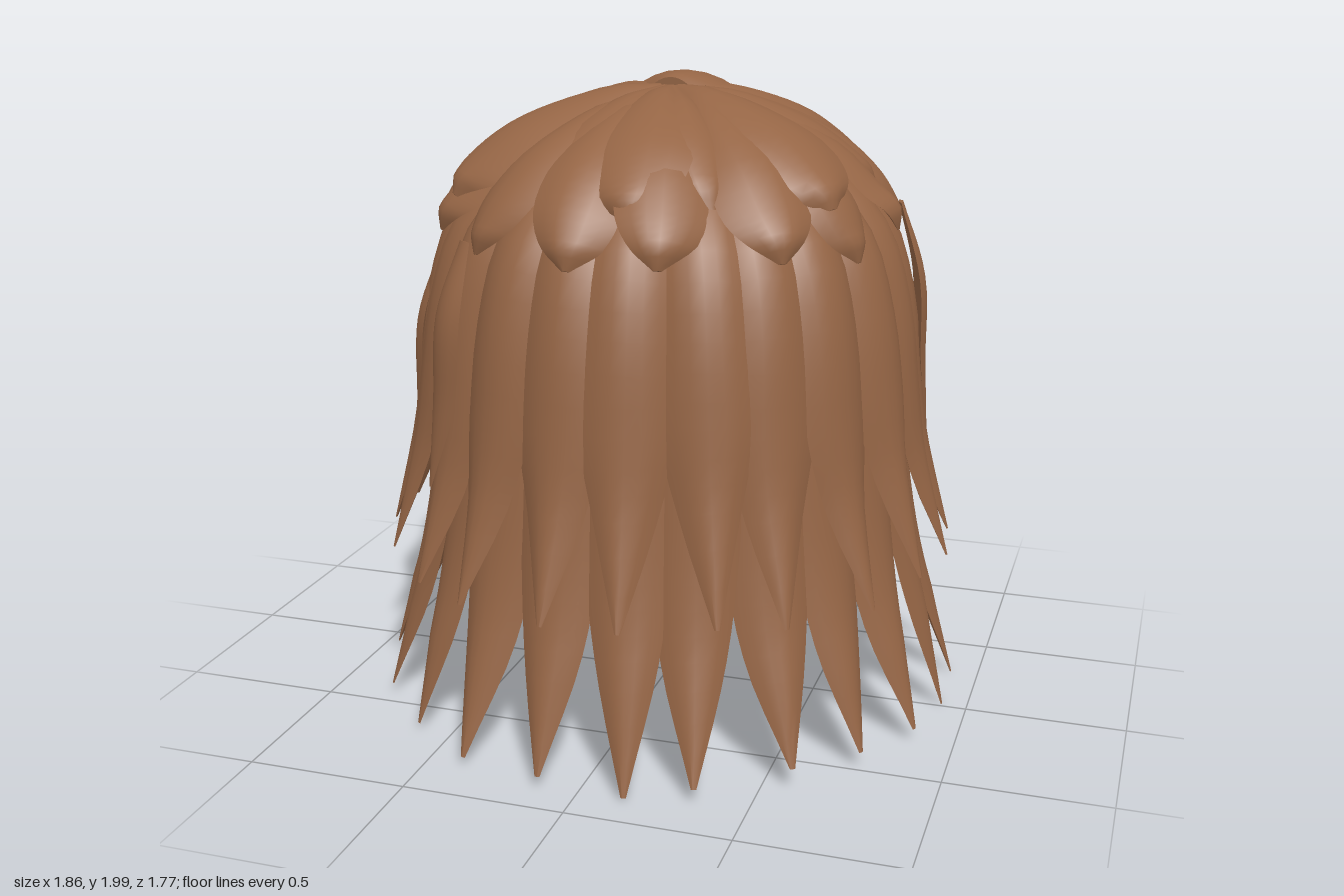
import * as THREE from 'three';
import { toCreasedNormals } from 'three/addons/utils/BufferGeometryUtils.js';

const rad = THREE.MathUtils.degToRad;
const CENTER_Z = -0.03;

// small repeatable variation in -1..1
const vary = (n) => {
  const s = Math.sin(n * 127.1 + 3.7) * 43758.5453;
  return 2 * (s - Math.floor(s)) - 1;
};

// One leaf-shaped lock. Stations are [radius, height, half width] from root to tip.
function lockGeometry(stations, azimuth, sweep = 0, thick = 0.035, roll = 0) {
  const curve = new THREE.CatmullRomCurve3(stations.map((s) => new THREE.Vector3(...s)));
  const rows = 18, across = 6, ring = across * 2;
  const pos = [], index = [];
  for (let i = 0; i <= rows; i++) {
    const t = i / rows;
    const p = curve.getPoint(t), d = curve.getTangent(t);
    const len = Math.hypot(d.x, d.y) || 1;
    const nr = -d.y / len, ny = d.x / len;
    const a = rad(azimuth + sweep * t * t);
    const sin = Math.sin(a), cos = Math.cos(a);
    const half = Math.max(p.z, 0.006);
    const body = thick * Math.min(1, half / 0.08);
    for (let j = 0; j < ring; j++) {
      const outer = j <= across;
      const s = outer ? -1 + (2 * j) / across : 1 - (2 * (j - across)) / across;
      const u = s * half;
      const lift = (outer ? 1 : -0.4) * body * (1 - s * s) - (u * u) / 1.3 + roll * s * half;
      const r = p.x + nr * lift;
      pos.push(sin * r + cos * u, p.y + ny * lift, cos * r - sin * u + CENTER_Z);
    }
  }
  for (let i = 0; i < rows; i++) {
    for (let j = 0; j < ring; j++) {
      const a = i * ring + j, b = i * ring + ((j + 1) % ring);
      index.push(a, a + ring, b, b, a + ring, b + ring);
    }
  }
  // close root and tip
  for (let j = 1; j < ring - 1; j++) {
    const e = rows * ring;
    index.push(0, j, j + 1, e, e + j + 1, e + j);
  }
  const g = new THREE.BufferGeometry();
  g.setAttribute('position', new THREE.Float32BufferAttribute(pos, 3));
  g.setIndex(index);
  return toCreasedNormals(g, 0.8);
}

export function createModel() {
  const hair = new THREE.MeshStandardMaterial({ color: 0x956545 });
  hair.name = 'brown hair';
  const skin = new THREE.MeshStandardMaterial({ color: 0xdccdc3 });
  skin.name = 'pale head';
  const model = new THREE.Group();
  model.name = 'wigOnHead';

  const lathe = (name, points, material, z) => {
    const curve = points.map(([x, y]) => new THREE.Vector2(x, y));
    const m = new THREE.Mesh(toCreasedNormals(new THREE.LatheGeometry(curve, 48), 0.6), material);
    m.name = name;
    m.position.z = z;
    model.add(m);
  };
  const layer = (name) => {
    const g = new THREE.Group();
    g.name = name;
    model.add(g);
    return (...args) => {
      const m = new THREE.Mesh(lockGeometry(...args), hair);
      m.name = name + 'Lock';
      g.add(m);
    };
  };

  // head block with rounded lower edge
  const headProfile = [[0, 0.44], [0.44, 0.44]];
  for (let i = 1; i <= 8; i++) {
    const a = (i / 8) * Math.PI / 2;
    headProfile.push([0.44 + 0.165 * Math.sin(a), 0.605 - 0.165 * Math.cos(a)]);
  }
  headProfile.push([0.605, 1.0], [0.605, 1.35], [0.56, 1.56], [0.42, 1.73], [0.2, 1.83], [0, 1.86]);
  lathe('head', headProfile, skin, -0.075);

  // hair cap under the locks
  lathe('hairCap', [[0.6, 1.42], [0.665, 1.44], [0.65, 1.55], [0.57, 1.67], [0.45, 1.775],
    [0.3, 1.86], [0.15, 1.925], [0, 1.95]], hair, CENTER_Z);

  // long lowest locks, all around except the face opening
  const long = layer('longHair');
  for (let k = -8; k <= 7; k++) {
    const tip = 0.06 + 0.045 * vary(k);
    long([[0.45, 1.7, 0.1], [0.66, 1.4, 0.13], [0.71, 1.0, 0.14], [0.755, 0.64, 0.125],
      [0.815, 0.37, 0.09], [0.93 + 0.015 * vary(k + 40), tip, 0.008]],
    7 + k * 16.2, 2 * vary(k + 20), 0.035, 0.12 * vary(k + 30));
  }

  // middle locks; the last ones beside the face are blunter
  const middle = layer('middleHair');
  for (let k = 0; k < 18; k++) {
    const az = (k - 8.5) * 16.2;
    const edge = Math.abs(az) > 130;
    const v = 0.04 * vary(k + 60);
    middle([[0.15, 1.87, 0.05], [0.45, 1.75, 0.1], [0.65, 1.56, 0.12], [0.73, 1.33, 0.128],
      [0.765, 1.07 + v, 0.138], [0.8, 0.83 + v, edge ? 0.125 : 0.09],
      [edge ? 0.8 : 0.91, 0.53 + v / 2, 0.008]],
    az, edge ? -4 * Math.sign(az) : 2 * vary(k + 80), 0.04, edge ? 0 : 0.15 * vary(k + 90));
  }

  // extra strands lying over the sides of the middle layer
  const side = layer('sideHair');
  for (const [az, top, tip, sweep] of [[108, 1.6, 0.8, 3], [126, 1.35, 0.65, -6], [134, 0.9, 0.42, -14],
    [-40, 1.55, 0.8, -3], [-72, 1.45, 0.7, -3], [-118, 1.5, 0.8, 4], [-130, 1.0, 0.45, 8]]) {
    const h = top - tip, r = top > 1.4 ? 0.72 : 0.775;
    side([[r, top, 0.03], [0.785, top - h * 0.3, 0.075], [0.8, top - h * 0.65, 0.07],
      [0.84, tip, 0.008]], az, sweep, 0.025);
  }

  // fringe over the face, shorter toward one side
  const fringe = layer('fringe');
  for (let k = 0; k < 10; k++) {
    const az = 133 + k * 10.4;
    const tip = (az < 168 ? 1.25 : 1.0) + 0.07 * vary(k + 100);
    fringe([[0.1, 1.93, 0.05], [0.4, 1.84, 0.1], [0.64, 1.67, 0.115], [0.76, 1.48, 0.1],
      [0.82, (1.5 + tip) / 2, 0.075], [0.82, tip, 0.01]], az, 4, 0.03, 0.15 * vary(k + 110));
  }
  // flared pieces at both ends of the fringe
  for (const az of [145, 215]) {
    fringe([[0.62, 1.68, 0.05], [0.78, 1.5, 0.065], [0.88, 1.3, 0.065], [0.94, 1.12, 0.02]], az, 0, 0.03);
  }

  // short scalloped tier
  const short = layer('shortHair');
  for (let k = 0; k < 15; k++) {
    const az = 17 + k * 24 + 2 * vary(k + 120);
    const v = 0.03 * vary(k + 140);
    short([[0.08, 1.935, 0.04], [0.3, 1.88, 0.09], [0.52, 1.775, 0.135], [0.64, 1.665, 0.135],
      [0.695, 1.59 + v, 0.09], [0.725, 1.53 + v, 0.012]], az, 3 * vary(k + 160), 0.035, 0.2 * vary(k + 170));
  }

  // uneven broad locks spreading from the crown: direction, reach, width, tilt
  const crown = layer('crownHair');
  for (const [az, reach, wide, roll] of [[2, 1, 1.1, 0.1], [26, 0.92, 0.7, -0.15], [58, 1.04, 1.2, 0.1],
    [94, 0.98, 0.8, -0.1], [130, 1.06, 1, 0.1], [154, 0.9, 0.7, -0.1], [212, 0.98, 1, 0.15],
    [240, 1.05, 0.85, -0.15], [268, 0.96, 0.8, 0.1], [304, 1.06, 1.2, -0.1], [336, 0.9, 0.8, 0.15]]) {
    crown([[0.03, 1.955, 0.03], [0.26 * reach, 1.905, 0.12 * wide], [0.45 * reach, 1.83, 0.165 * wide],
      [0.58 * reach, 1.735, 0.13 * wide], [0.65 * reach, 1.66, 0.02]], az, 8 * vary(az), 0.035, roll);
  }
  // tapering lock that starts broad on the crown and runs to the fringe
  crown([[0.0, 1.965, 0.06], [0.1, 1.97, 0.14], [0.22, 1.95, 0.15], [0.48, 1.83, 0.09],
    [0.72, 1.6, 0.02]], 177, 0, 0.03);

  return model;
}
